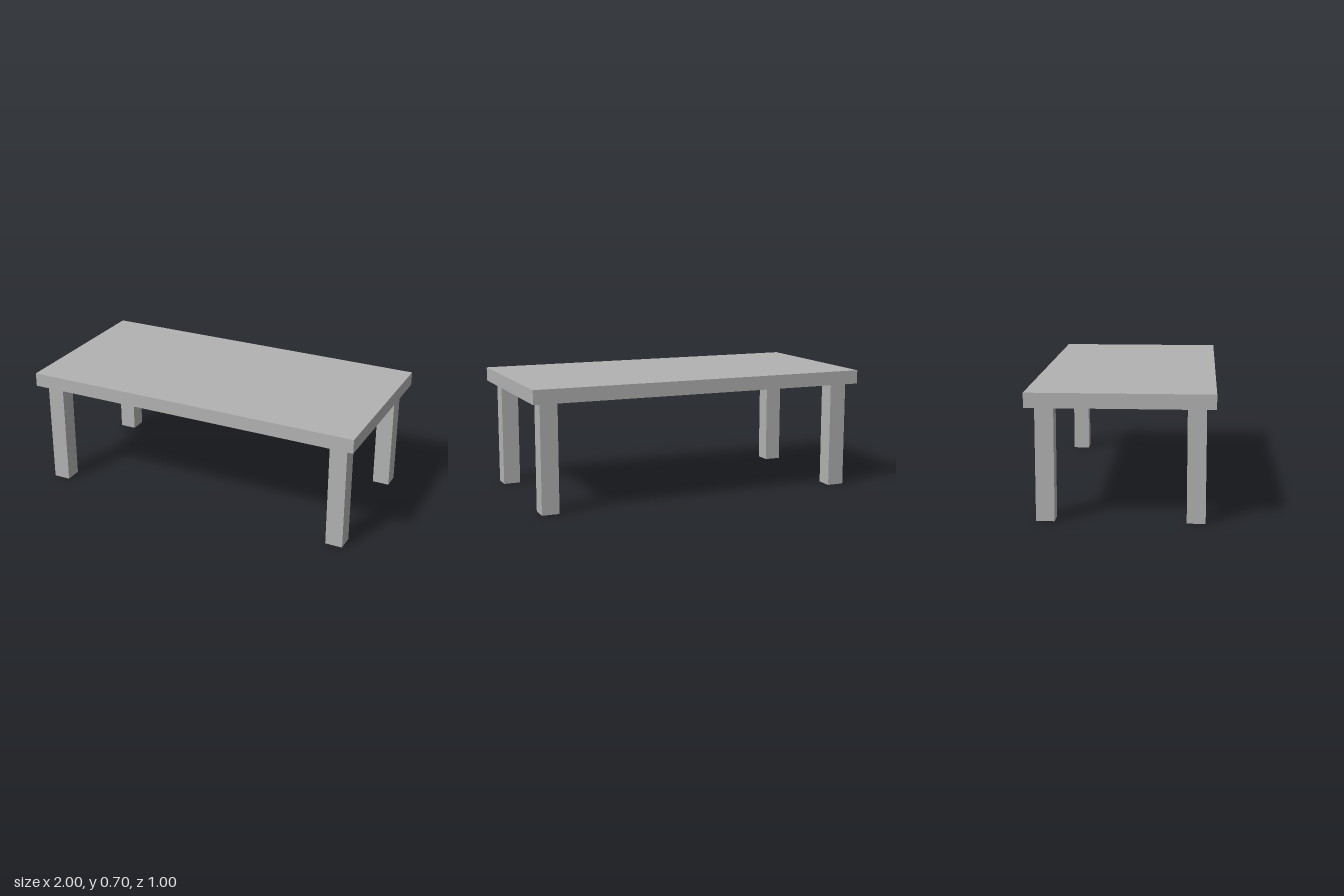
import * as THREE from 'three';

const TOP_Y = 0.7;      // height of the table
const TOP_T = 0.08;     // thickness of the top
const LEG = 0.1;        // leg side

export function createModel() {
  const table = new THREE.Group();
  table.name = 'table';

  const grey = new THREE.MeshStandardMaterial({ color: 0xb2b2b2 });
  grey.name = 'grey';

  // Table top
  const top = new THREE.Mesh(new THREE.BoxGeometry(2, TOP_T, 1), grey);
  top.name = 'tableTop';
  top.position.y = TOP_Y - TOP_T / 2;
  table.add(top);

  // Four square legs, set in from the corners
  const legHeight = TOP_Y - TOP_T;
  const legGeometry = new THREE.BoxGeometry(LEG, legHeight, LEG);
  for (const [sx, side] of [[1, 'Left'], [-1, 'Right']]) {
    for (const [sz, end] of [[1, 'front'], [-1, 'back']]) {
      const leg = new THREE.Mesh(legGeometry, grey);
      leg.name = `${end}${side}Leg`;
      leg.position.set(sx * 0.9, legHeight / 2, sz * 0.4);
      table.add(leg);
    }
  }

  return table;
}
